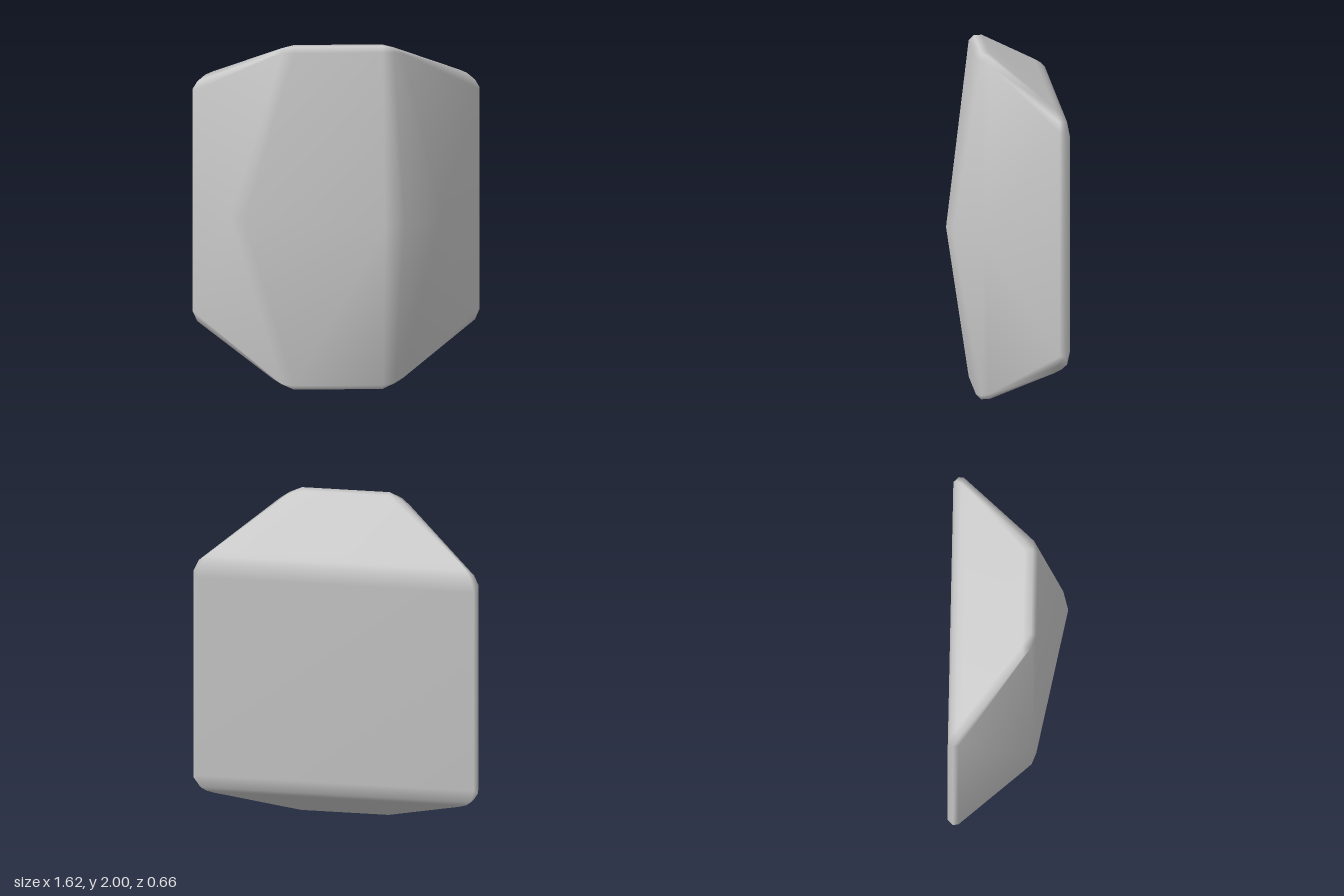
import * as THREE from 'three';
import { ConvexGeometry } from 'three/addons/geometries/ConvexGeometry.js';
import { mergeVertices } from 'three/addons/utils/BufferGeometryUtils.js';

// Corners of the upper right quarter; mirrored in x and about mid-height
const END_CORNERS = [
  // rounded tip of the end edge
  [0.25, 2.0, 0.085], [0.25, 2.0, 0.13], [0.25, 1.97, 0.16],
  [0.32, 1.98, 0.08], [0.32, 1.965, 0.135], [0.37, 1.945, 0.09],
  // rounded back corner
  [0.79, 1.62, -0.33], [0.77, 1.7, -0.315], [0.74, 1.735, -0.285],
  [0.7, 1.762, -0.25], [0.81, 1.65, -0.3], [0.808, 1.645, -0.27], [0.785, 1.7, -0.27],
];

// Lopsided front ridge at mid-height: x, z
const RIDGE = [[-0.61, 0.09], [-0.53, 0.15], [0.26, 0.33], [0.37, 0.3], [0.58, 0.14]];

export function createModel() {
  const group = new THREE.Group();
  group.name = 'rock';

  const points = RIDGE.map(([x, z]) => new THREE.Vector3(x, 1, z));
  for (const [x, y, z] of END_CORNERS) {
    for (const sx of [-1, 1]) {
      points.push(new THREE.Vector3(sx * x, y, z), new THREE.Vector3(sx * x, 2 - y, z));
    }
  }

  // Weld the hull so the narrow bevels shade smoothly
  let geometry = new ConvexGeometry(points);
  geometry.deleteAttribute('normal');
  geometry = mergeVertices(geometry, 1e-4);
  geometry.computeVertexNormals();

  const stone = new THREE.Mesh(geometry, new THREE.MeshStandardMaterial({ color: 0xcccccc }));
  stone.name = 'stoneBody';
  group.add(stone);
  return group;
}
